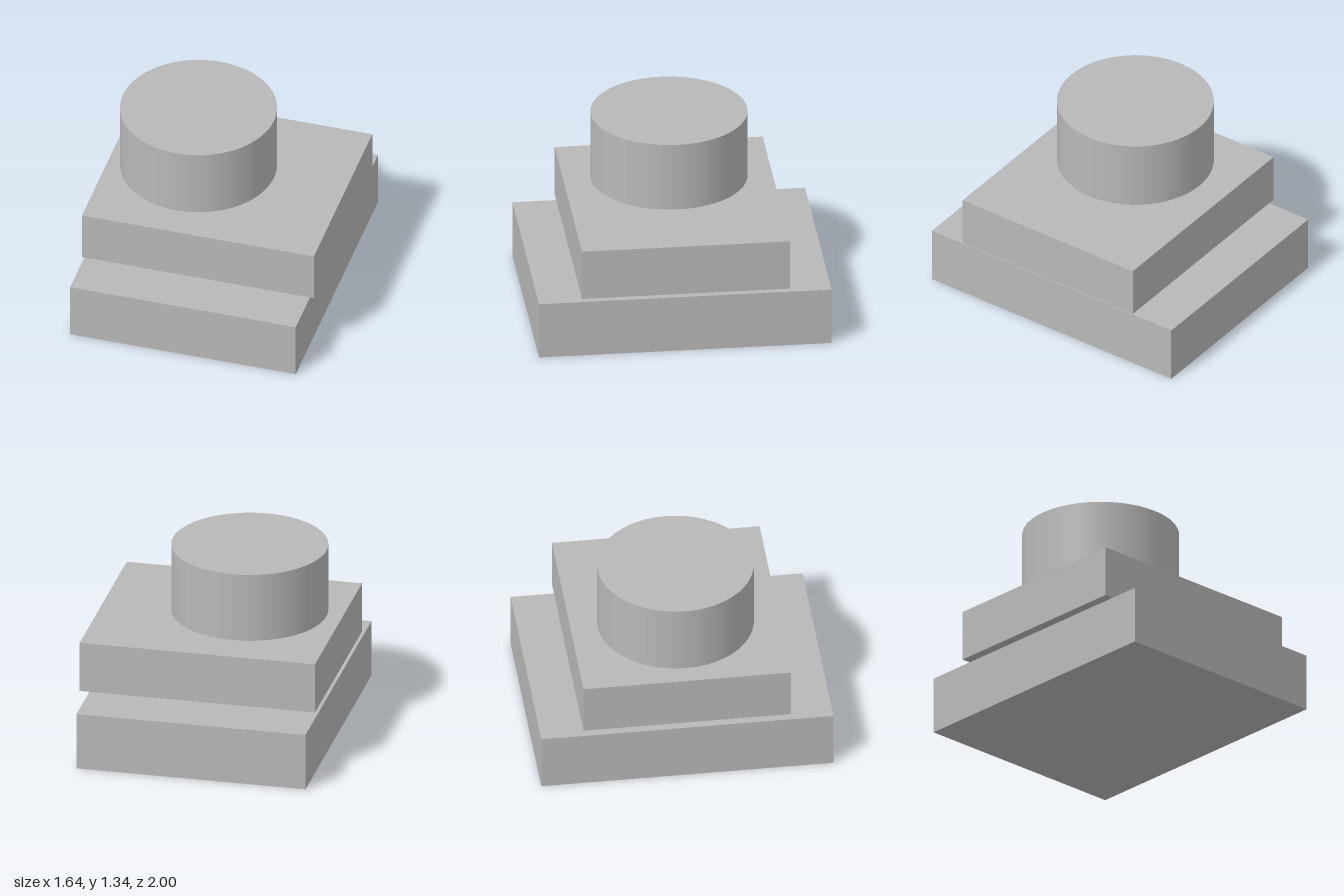
import * as THREE from 'three';

export function createModel() {
  const group = new THREE.Group();
  const grey = new THREE.MeshStandardMaterial({ color: 0xb8b8b8 });
  grey.name = 'plainGrey';

  // Adds a part standing between two heights, centred at x
  const add = (name, geometry, x, bottom, top) => {
    const mesh = new THREE.Mesh(geometry, grey);
    mesh.name = name;
    mesh.position.set(x, (bottom + top) / 2, 0);
    group.add(mesh);
  };

  // Two floating slabs, the upper one wider but less deep
  add('lowerSlab', new THREE.BoxGeometry(1.596, 0.402, 2), -0.022, 0, 0.402);
  add('upperSlab', new THREE.BoxGeometry(1.64, 0.356, 1.422), 0, 0.447, 0.803);

  // Smooth drum hovering off-centre above the slabs
  add('drum', new THREE.CylinderGeometry(0.533, 0.533, 0.487, 96), -0.202, 0.848, 1.335);

  return group;
}
